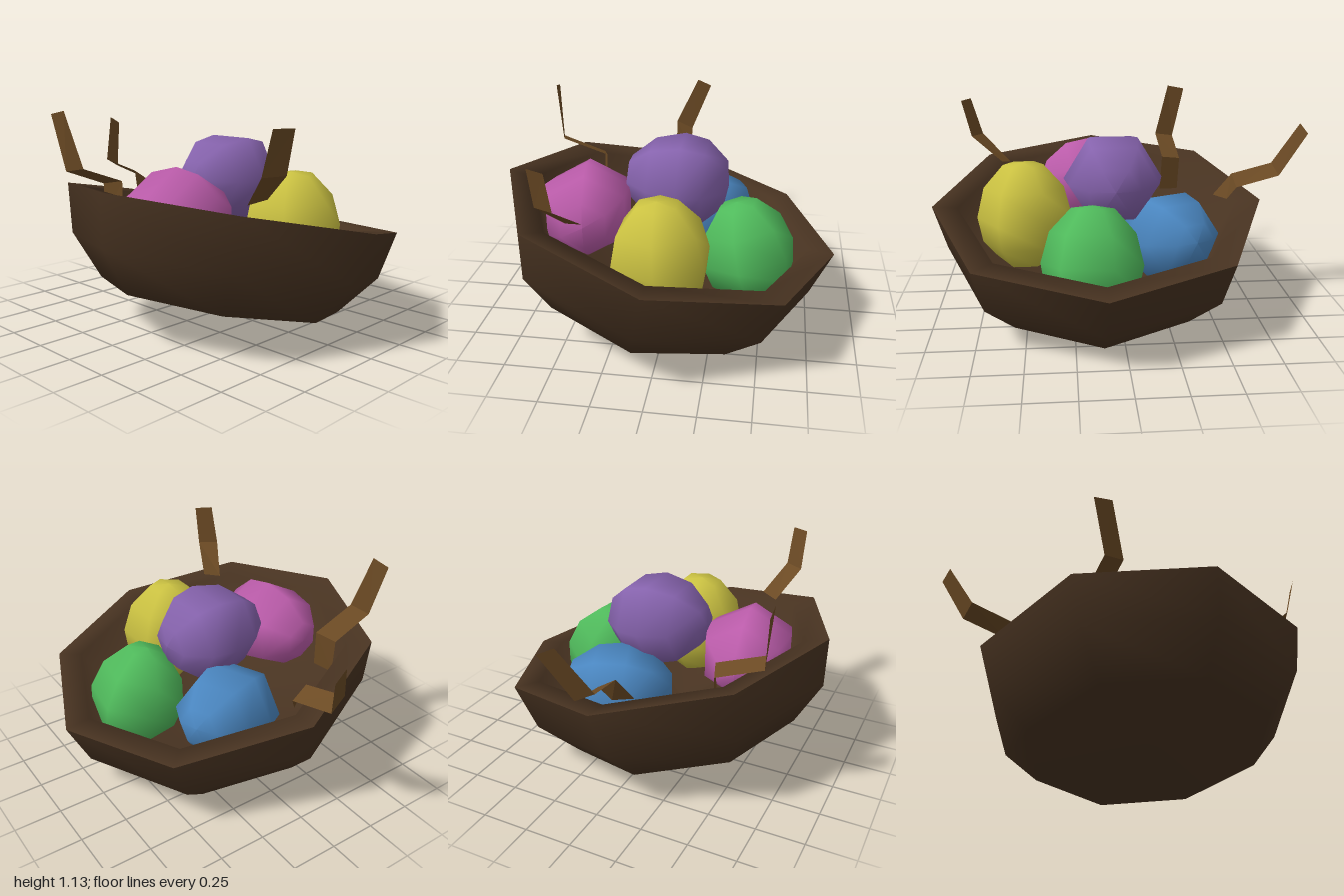
import * as THREE from 'three';

const mat = (name, color, side = THREE.FrontSide) => {
  const m = new THREE.MeshStandardMaterial({ color, side });
  m.name = name;
  return m;
};

const lathe = (profile, sides, start = 0) =>
  new THREE.LatheGeometry(profile.map(([r, y]) => new THREE.Vector2(r, y)), sides, start);

// Bent flat strip from pairs of edge points
function strip(pairs) {
  const pos = [];
  for (let i = 0; i < pairs.length - 1; i++) {
    const [a, b] = pairs[i], [c, d] = pairs[i + 1];
    pos.push(...a, ...c, ...b, ...b, ...c, ...d);
  }
  const g = new THREE.BufferGeometry();
  g.setAttribute('position', new THREE.Float32BufferAttribute(pos, 3));
  g.computeVertexNormals();
  return g;
}

export function createModel() {
  const model = new THREE.Group();
  model.name = 'basketOfEggs';
  const add = (name, geometry, material, parent = model) => {
    const mesh = new THREE.Mesh(geometry, material);
    mesh.name = name;
    parent.add(mesh);
    return mesh;
  };

  // Tilted octagonal basket: outer shell with base, then rim and hollow inside
  const brown = mat('dark brown', 0x483321);
  const basket = new THREE.Group();
  basket.name = 'basket';
  basket.position.set(0.105, 0.602, 0);
  basket.rotation.x = -0.217;
  model.add(basket);
  add('basketOutside', lathe([[0, -0.472], [0.645, -0.472], [0.832, -0.259], [0.894, 0]], 8), brown, basket);
  add('basketInside', lathe([[0.894, 0], [0.76, -0.01], [0.65, -0.25], [0, -0.36]], 8), brown, basket);

  // Six-sided low-poly eggs, most lying on their sides: centre, radii, rotation
  const eggShape = lathe([[0, -1], [0.5, -0.93], [0.9, -0.52], [1, -0.05], [0.84, 0.52], [0.42, 0.95], [0, 1]], 6, Math.PI / 6);
  const eggs = [
    ['purpleEgg', 0x8663ad, [0.03, 0.76, -0.03], [0.262, 0.272, 0.25], [1.52, 0, 0]],
    ['pinkEgg', 0xbd5dac, [0.125, 0.62, 0.44], [0.25, 0.285, 0.262], [0, 0.12, Math.PI / 2]],
    ['yellowEgg', 0xcbc242, [0.505, 0.555, -0.01], [0.255, 0.285, 0.262], [0.06, 0, 0]],
    ['greenEgg', 0x50bb5c, [0.16, 0.43, -0.42], [0.26, 0.28, 0.255], [0.25, -0.14, 0]],
    ['blueEgg', 0x4a86c0, [-0.265, 0.45, -0.13], [0.262, 0.285, 0.25], [-1.4, 0.4, 0]],
  ];
  for (const [name, color, p, s, [rx, ry, rz]] of eggs) {
    const egg = add(name, eggShape, mat(name.replace('Egg', ''), color));
    egg.position.set(...p);
    egg.scale.set(...s);
    egg.rotation.set(rx, ry, rz, 'YXZ');
  }

  // Broken handle strips standing up from the rim
  const wood = mat('light brown', 0x6b4a24, THREE.DoubleSide);
  add('rightHandleStrip', strip([
    [[-1, 0.99, -0.1], [-0.98, 1.03, -0.02]],
    [[-0.89, 0.735, 0.005], [-0.87, 0.785, 0.1]],
    [[-0.65, 0.68, -0.02], [-0.64, 0.735, 0.07]],
    [[-0.61, 0.6, 0.03], [-0.55, 0.6, 0.12]],
  ]), wood);
  add('frontHandleStrip', strip([
    [[-0.47, 1.11, 0.74], [-0.37, 1.13, 0.73]],
    [[-0.4, 0.82, 0.71], [-0.29, 0.84, 0.68]],
    [[-0.41, 0.73, 0.47], [-0.3, 0.75, 0.43]],
    [[-0.4, 0.54, 0.47], [-0.29, 0.55, 0.44]],
  ]), wood);
  add('leftHandleStrip', strip([
    [[0.82, 1.1, 0.52], [0.865, 1.1, 0.43]],
    [[0.76, 0.89, 0.52], [0.815, 0.895, 0.42]],
    [[0.6, 0.74, 0.43], [0.64, 0.76, 0.34]],
  ]), wood);

  return model;
}
